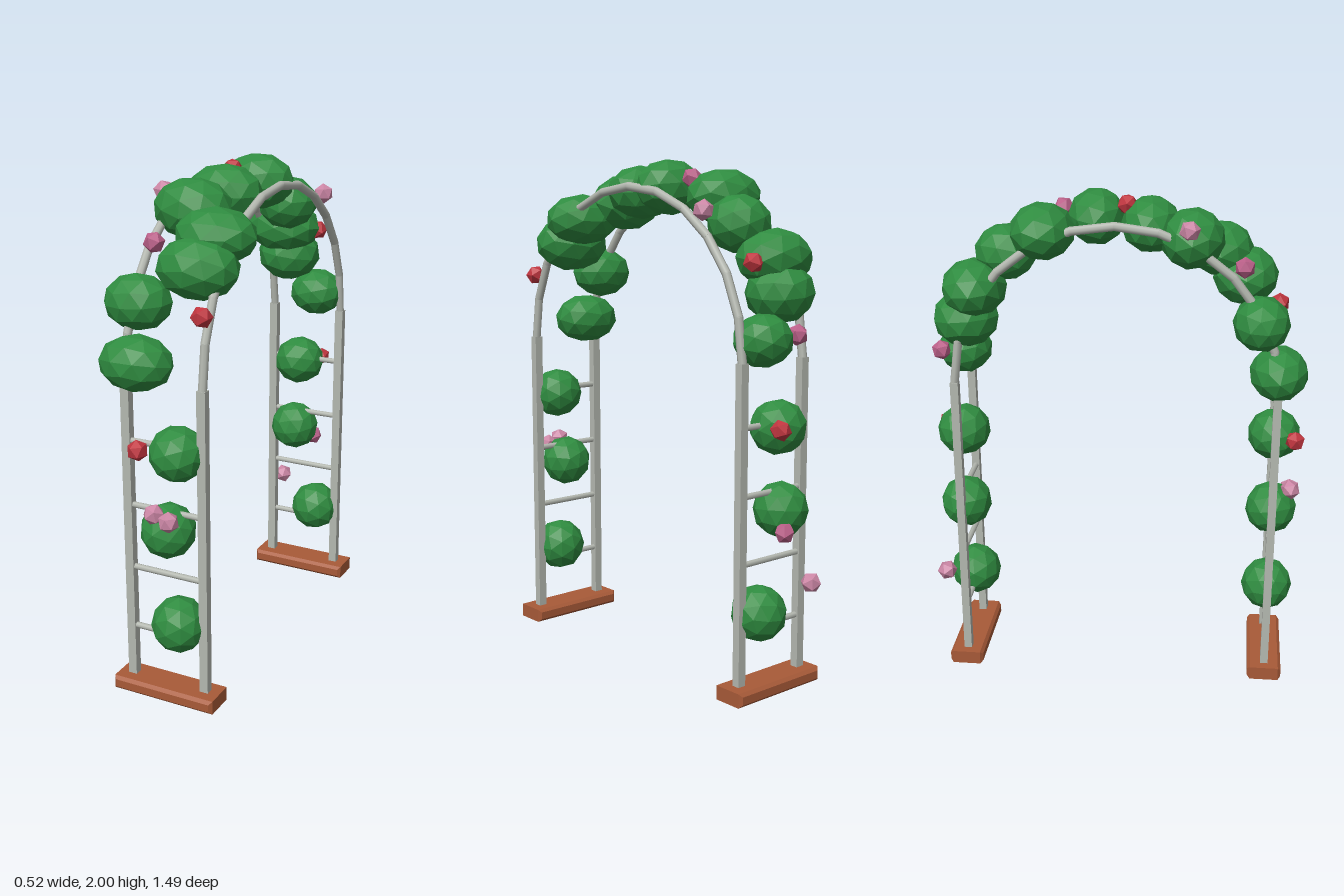
import * as THREE from 'three';

const mat = (name, color, flatShading = false) => {
  const m = new THREE.MeshStandardMaterial({ color, flatShading });
  m.name = name;
  return m;
};

export function createModel() {
  const group = new THREE.Group();
  group.name = 'gardenArch';

  const metal = mat('grey metal', 0xb4b8b0);
  const brick = mat('terracotta', 0xa85a38);
  const green = mat('leaf green', 0x2f8c40, true);
  const red = mat('flower red', 0xc0353f, true);
  const pink = mat('flower pink', 0xcb86a5, true);
  const rose = mat('flower rose', 0xbb6089, true);

  const add = (name, geometry, material, x, y, z) => {
    const mesh = new THREE.Mesh(geometry, material);
    mesh.name = name;
    mesh.position.set(x, y, z);
    group.add(mesh);
    return mesh;
  };

  const postX = [-0.145, 0.17], midX = 0.0125;
  const R = 0.63, springY = 1.265;

  // Bevelled foot slab
  const bevel = 0.012, w = 0.43, d = 0.14, h = 0.055;
  const slab = new THREE.Shape();
  slab.moveTo(-w / 2 + bevel, -h / 2 + bevel);
  slab.lineTo(w / 2 - bevel, -h / 2 + bevel);
  slab.lineTo(w / 2 - bevel, h / 2 - bevel);
  slab.lineTo(-w / 2 + bevel, h / 2 - bevel);
  const slabGeo = new THREE.ExtrudeGeometry(slab, {
    depth: d - 2 * bevel, bevelEnabled: true, bevelSize: bevel, bevelThickness: bevel, bevelSegments: 1,
  }).translate(0, 0, -d / 2 + bevel);

  // Two ladder sides: foot, posts and rungs
  const postGeo = new THREE.BoxGeometry(0.035, springY, 0.032);
  const rungGeo = new THREE.CylinderGeometry(0.012, 0.012, postX[1] - postX[0], 8).rotateZ(Math.PI / 2);
  for (const z of [R, -R]) {
    add('foot', slabGeo, brick, midX + 0.002, 0.0325, z);
    for (const x of postX) add('post', postGeo, metal, x, springY / 2, z);
    for (const y of [0.27, 0.52, 0.775, 1.03]) add('rung', rungGeo, metal, midX, y, z);
  }

  // Two half-round hoops of straight tube pieces
  const pieces = 12, step = Math.PI / pieces;
  const hoopGeo = new THREE.CylinderGeometry(0.017, 0.017, 2 * R * Math.sin(step / 2) + 0.006, 8);
  for (const x of postX) {
    for (let i = 0; i < pieces; i++) {
      const a = (i + 0.5) * step, r = R * Math.cos(step / 2);
      add('hoopPiece', hoopGeo, metal, x, springY + r * Math.sin(a), r * Math.cos(a)).rotation.x = -a;
    }
  }

  // Leaf clumps: x, y, z, half width, half height, half depth
  const clumps = [
    [0.06, 0.32, 0.63, 0.107, 0.11, 0.107], [0.02, 0.70, 0.63, 0.107, 0.107, 0.105],
    [0.065, 1.01, 0.63, 0.107, 0.105, 0.107], [-0.1, 1.33, 0.63, 0.145, 0.105, 0.115],
    [-0.13, 1.535, 0.555, 0.133, 0.105, 0.11], [0.08, 1.665, 0.49, 0.16, 0.115, 0.128],
    [0.1, 1.765, 0.39, 0.16, 0.105, 0.128], [-0.05, 1.835, 0.285, 0.155, 0.115, 0.125],
    [0, 1.875, 0.125, 0.152, 0.107, 0.115], [0.035, 1.892, -0.085, 0.147, 0.108, 0.113],
    [-0.07, 1.855, -0.28, 0.163, 0.108, 0.125], [0, 1.755, -0.435, 0.125, 0.11, 0.122],
    [-0.07, 1.63, -0.55, 0.163, 0.112, 0.127], [-0.06, 1.505, -0.59, 0.135, 0.115, 0.13],
    [0.06, 1.34, -0.625, 0.118, 0.1, 0.108], [-0.02, 1.015, -0.63, 0.11, 0.105, 0.107],
    [-0.04, 0.70, -0.63, 0.107, 0.107, 0.105], [0.07, 0.32, -0.63, 0.107, 0.108, 0.107],
  ];
  clumps.forEach(([x, y, z, a, b, c], i) => {
    const geo = new THREE.IcosahedronGeometry(1, 1).rotateX(i * 1.3).rotateY(i * 2.1).scale(a, b, c);
    add('leafClump', geo, green, x, y, z);
  });

  // Flowers: colour, x, y, z
  const flowers = [
    [red, 0.17, 1.53, 0.63], [red, -0.055, 1.03, 0.71], [red, 0.05, 1.02, -0.71],
    [red, 0.075, 1.62, -0.588], [red, -0.015, 1.95, 0.037],
    [pink, 0.003, 0.79, 0.705], [pink, 0.065, 0.77, 0.705], [pink, -0.13, 0.415, -0.708],
    [pink, 0.168, 1.805, -0.42], [pink, -0.175, 1.89, 0.28],
    [rose, 0.02, 0.635, -0.708], [rose, 0.03, 1.925, -0.21], [rose, -0.1, 1.74, 0.485],
    [rose, -0.04, 1.36, -0.7],
  ];
  flowers.forEach(([material, x, y, z], i) => {
    const geo = new THREE.IcosahedronGeometry(0.041, 0).rotateX(i * 0.9).rotateY(i * 1.7);
    add('flower', geo, material, x, y, z);
  });

  return group;
}
